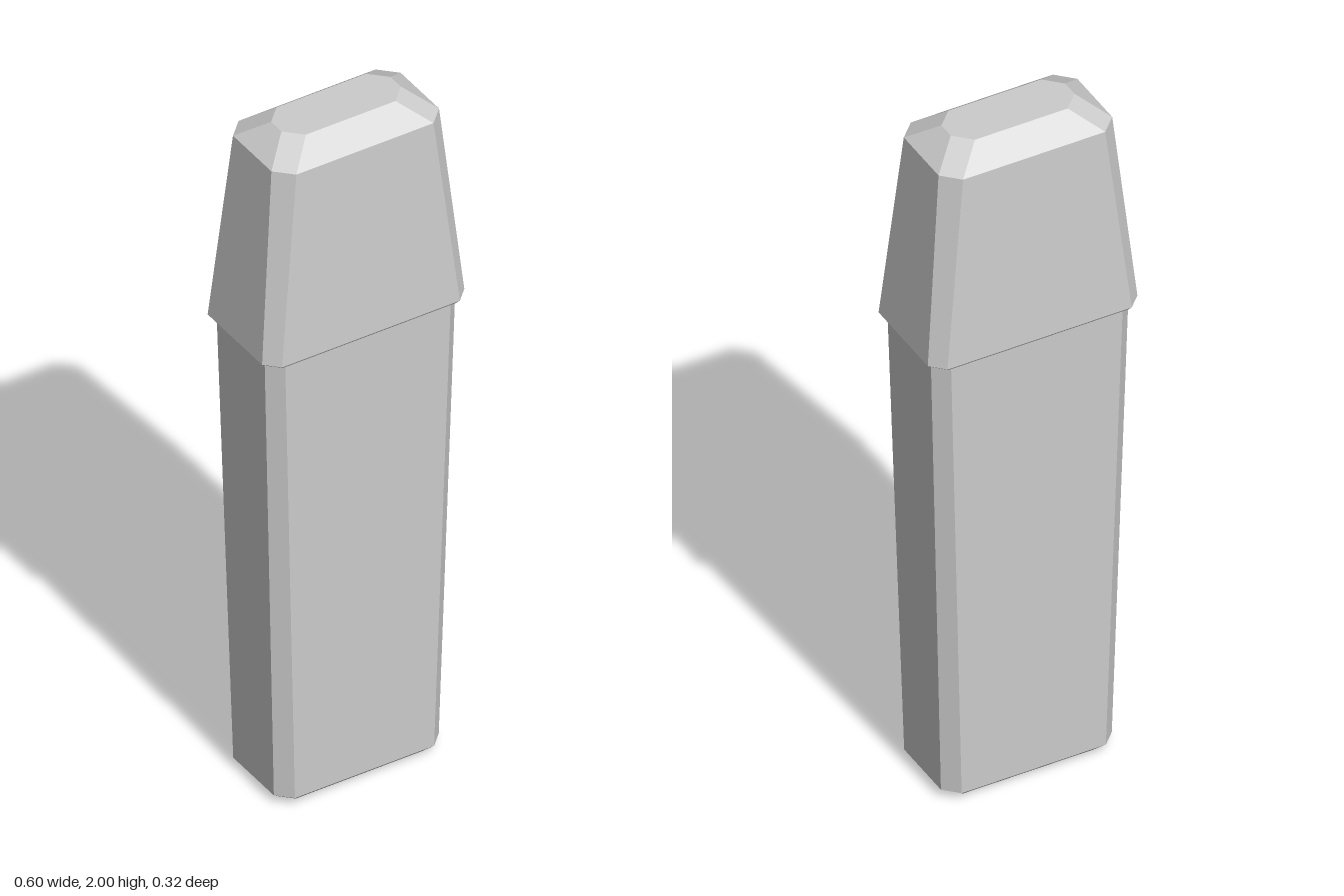
import * as THREE from 'three';

// Chamfered rectangle: outer half sizes X, Z; cut = corner chamfer
function ring([y, X, Z, cut]) {
  const x = X - cut, z = Z - cut;
  return [[X, z], [x, Z], [-x, Z], [-X, z], [-X, -z], [-x, -Z], [x, -Z], [X, -z]]
    .map(([px, pz]) => [px, y, pz]);
}

// Skin a stack of rings, listed from bottom to top, and cap both ends
function loft(name, sections, material) {
  const rings = sections.map(ring);
  const last = rings.length - 1;
  const bottom = [0, sections[0][0], 0];
  const top = [0, sections[last][0], 0];
  const points = [];
  for (let j = 0; j < 8; j++) {
    const k = (j + 1) % 8;
    points.push(bottom, rings[0][j], rings[0][k]);
    for (let i = 0; i < last; i++) {
      const lower = rings[i], upper = rings[i + 1];
      points.push(lower[j], upper[j], lower[k], upper[j], upper[k], lower[k]);
    }
    points.push(top, rings[last][k], rings[last][j]);
  }
  const geometry = new THREE.BufferGeometry();
  geometry.setAttribute('position', new THREE.Float32BufferAttribute(points.flat(), 3));
  geometry.computeVertexNormals();
  const mesh = new THREE.Mesh(geometry, material);
  mesh.name = name;
  return mesh;
}

export function createModel() {
  const group = new THREE.Group();
  group.name = 'taperedCase';
  const material = new THREE.MeshStandardMaterial({ color: 0xcccccc, flatShading: true });

  // Tall body widening upward, with a bevelled foot
  group.add(loft('body', [
    [0, 0.216, 0.106, 0.03],
    [0.025, 0.243, 0.132, 0.038],
    [1.39, 0.281, 0.148, 0.037],
  ], material));

  // Overhanging cap narrowing upward, with a bevelled crown
  group.add(loft('cap', [
    [1.385, 0.292, 0.157, 0.036],
    [1.392, 0.298, 0.162, 0.036],
    [1.945, 0.247, 0.134, 0.045],
    [2, 0.176, 0.068, 0.044],
  ], material));

  return group;
}
